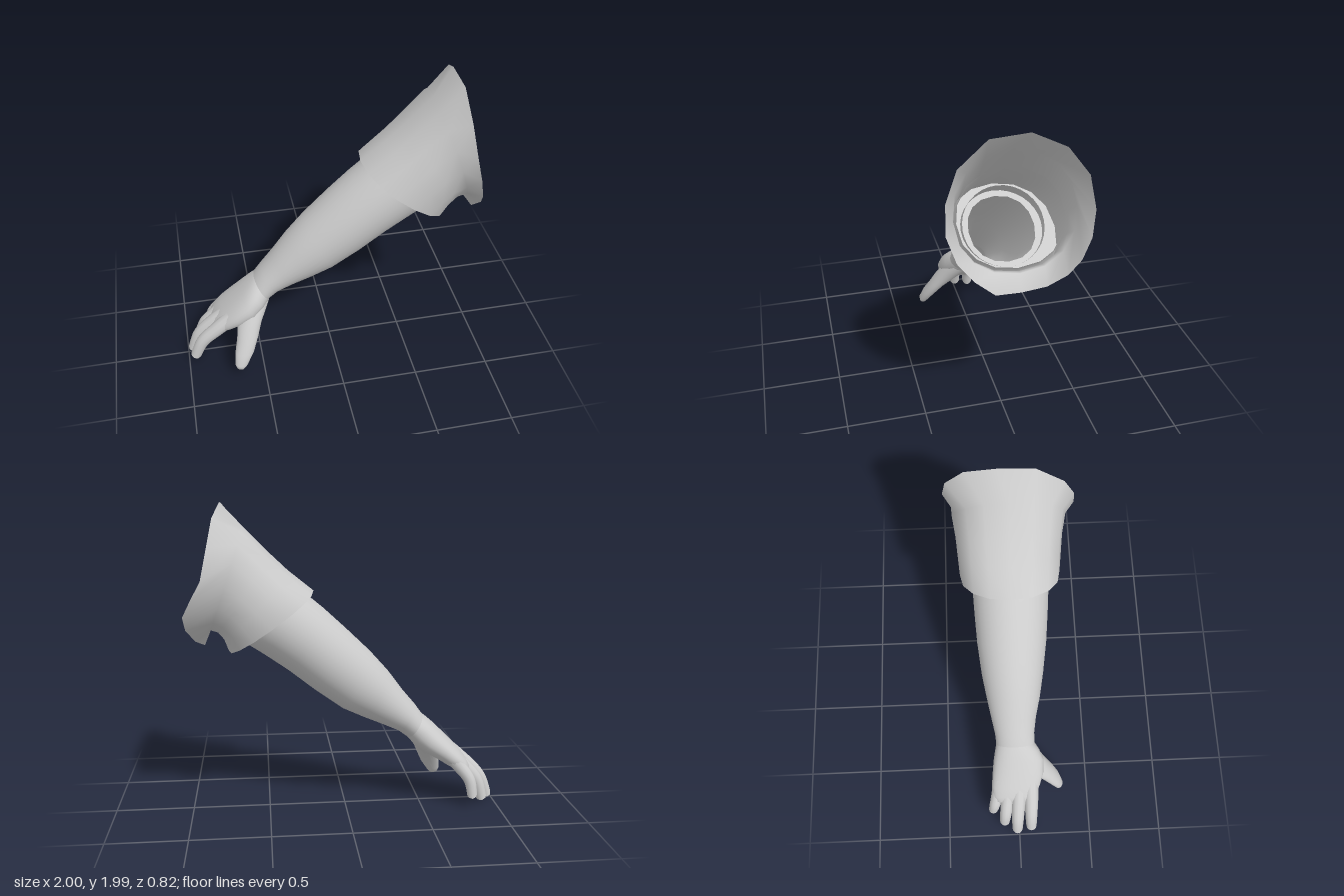
import * as THREE from 'three';

const material = new THREE.MeshStandardMaterial({ color: 0xcccccc, side: THREE.DoubleSide });

// Oval section from [topX, topY, bottomX, bottomY, zMin, zMax], starting at the top towards +z
function oval([tx, ty, bx, by, z0, z1], sides, power = 1) {
  const ring = [];
  for (let j = 0; j < sides; j++) {
    const a = (j / sides) * Math.PI * 2;
    const c = Math.sign(Math.cos(a)) * Math.abs(Math.cos(a)) ** power;
    const s = Math.sign(Math.sin(a)) * Math.abs(Math.sin(a)) ** power;
    const u = (1 + c) / 2;
    ring.push([bx + (tx - bx) * u, by + (ty - by) * u, (z0 + z1) / 2 + ((z1 - z0) / 2) * s]);
  }
  return ring;
}

// Skin over a row of closed sections
function loft(name, rings) {
  const n = rings[0].length, index = [];
  for (let i = 0; i < rings.length - 1; i++) {
    for (let j = 0; j < n; j++) {
      const a = i * n + j, b = i * n + ((j + 1) % n);
      index.push(a, b, a + n, b, b + n, a + n);
    }
  }
  const geo = new THREE.BufferGeometry();
  geo.setAttribute('position', new THREE.Float32BufferAttribute(rings.flat(2), 3));
  geo.setIndex(index);
  geo.computeVertexNormals();
  const mesh = new THREE.Mesh(geo, material);
  mesh.name = name;
  return mesh;
}

// Tapered finger with a rounded tip
function finger(name, r0, r1, points) {
  const path = new THREE.CatmullRomCurve3(points.map(p => new THREE.Vector3(...p)));
  const steps = 28, sides = 12;
  const geo = new THREE.TubeGeometry(path, steps, 1, sides);
  const pos = geo.attributes.position, v = new THREE.Vector3();
  const round = r1 / path.getLength();
  for (let i = 0; i <= steps; i++) {
    const u = i / steps, centre = path.getPointAt(u);
    const t = Math.max(0, (u - 1 + round) / round);
    const r = (r0 + (r1 - r0) * u) * Math.sqrt(Math.max(0, 1 - t * t));
    for (let j = 0; j <= sides; j++) {
      const k = i * (sides + 1) + j;
      v.fromBufferAttribute(pos, k).sub(centre).multiplyScalar(r).add(centre);
      pos.setXYZ(k, v.x, v.y, v.z);
    }
  }
  const mesh = new THREE.Mesh(geo, material);
  mesh.name = name;
  return mesh;
}

export function createModel() {
  const model = new THREE.Group();
  model.name = 'arm';

  // Forearm, open where it ends inside the sleeve
  const wrist = [-0.51, 0.61, -0.41, 0.46, -0.14, 0.12];
  model.add(loft('forearm', [
    wrist,
    [-0.46, 0.68, -0.35, 0.505, -0.145, 0.12],
    [-0.38, 0.775, -0.25, 0.55, -0.165, 0.135],
    [-0.28, 0.91, -0.12, 0.605, -0.19, 0.165],
    [-0.16, 1.045, 0.02, 0.67, -0.215, 0.19],
    [0, 1.2, 0.2, 0.8, -0.235, 0.215],
    [0.14, 1.33, 0.37, 0.935, -0.243, 0.228],
    [0.26, 1.43, 0.52, 1.04, -0.248, 0.237],
    [0.33, 1.49, 0.65, 1.125, -0.25, 0.24],
  ].map(r => oval(r, 32))));

  // Hand: flattened palm, broad thumb and four fingers
  const hand = new THREE.Group();
  hand.name = 'hand';
  hand.add(loft('palm', [
    ...[
      [-0.815, 0.258, -0.81, 0.252, -0.12, 0.06],
      [-0.82, 0.28, -0.785, 0.235, -0.15, 0.095],
      [-0.795, 0.325, -0.735, 0.24, -0.175, 0.125],
      [-0.745, 0.385, -0.675, 0.265, -0.182, 0.15],
      [-0.68, 0.45, -0.61, 0.305, -0.176, 0.175],
      [-0.6, 0.53, -0.51, 0.36, -0.163, 0.18],
      [-0.545, 0.58, -0.45, 0.415, -0.15, 0.15],
    ].map(r => oval(r, 32, 0.9)),
    oval(wrist, 32),
  ]));
  hand.add(loft('thumb', [
    [-0.668, 0.078, -0.655, 0.076, 0.293, 0.303],
    [-0.69, 0.09, -0.637, 0.084, 0.274, 0.318],
    [-0.7, 0.12, -0.615, 0.11, 0.255, 0.322],
    [-0.69, 0.19, -0.565, 0.185, 0.208, 0.297],
    [-0.667, 0.265, -0.525, 0.27, 0.14, 0.255],
    [-0.65, 0.35, -0.49, 0.345, 0.05, 0.212],
    [-0.6, 0.44, -0.455, 0.4, 0, 0.168],
    [-0.52, 0.53, -0.42, 0.455, -0.04, 0.112],
  ].map(r => oval(r, 24))));
  hand.add(
    finger('indexFinger', 0.055, 0.035, [[-0.68, 0.36, 0.085], [-0.79, 0.272, 0.088], [-0.895, 0.172, 0.085], [-0.962, 0.03, 0.085]]),
    finger('middleFinger', 0.055, 0.035, [[-0.68, 0.36, 0.01], [-0.8, 0.272, 0], [-0.91, 0.16, -0.01], [-0.973, 0.003, -0.015]]),
    finger('ringFinger', 0.053, 0.034, [[-0.68, 0.36, -0.065], [-0.78, 0.27, -0.078], [-0.872, 0.165, -0.093], [-0.915, 0.018, -0.105]]),
    finger('littleFinger', 0.05, 0.031, [[-0.66, 0.375, -0.12], [-0.74, 0.285, -0.142], [-0.808, 0.19, -0.167], [-0.83, 0.063, -0.185]]),
  );
  model.add(hand);

  // Sleeve, flaring from the hem to an uneven rim with an outturned lower lip
  const rim = [
    [0.77, 1.995, -0.07], [0.77, 1.98, 0.16], [0.775, 1.83, 0.33], [0.8, 1.65, 0.4],
    [0.84, 1.48, 0.41], [0.88, 1.33, 0.36], [0.91, 1.22, 0.27], [0.9, 1.11, 0.15],
    [0.89, 1.1, 0], [0.94, 1.15, -0.13], [0.99, 1.24, -0.23], [1, 1.33, -0.3],
    [0.95, 1.43, -0.37], [0.88, 1.56, -0.41], [0.84, 1.75, -0.38], [0.81, 1.91, -0.26],
  ];
  const hem = [0.2, 1.44, 0.74, 1.06, -0.325, 0.31];
  model.add(loft('sleeve', [
    ...[
      hem,
      [0.36, 1.57, 0.77, 1.14, -0.332, 0.32],
      [0.48, 1.685, 0.81, 1.19, -0.338, 0.328],
      [0.63, 1.84, 0.85, 1.2, -0.353, 0.35],
    ].map(r => oval(r, 16, 0.92)),
    rim,
  ]));

  // Hem turned in to the arm, and the lining behind it
  model.add(loft('hemFacing', [
    [0.27, 1.39, 0.62, 1.14, -0.205, 0.195],
    hem,
  ].map(r => oval(r, 16, 0.92))));
  model.add(loft('sleeveLining', [
    hem,
    [0.37, 1.56, 0.76, 1.155, -0.318, 0.306],
    [0.49, 1.675, 0.8, 1.205, -0.32, 0.31],
  ].map(r => oval(r, 16, 0.92))));

  return model;
}
